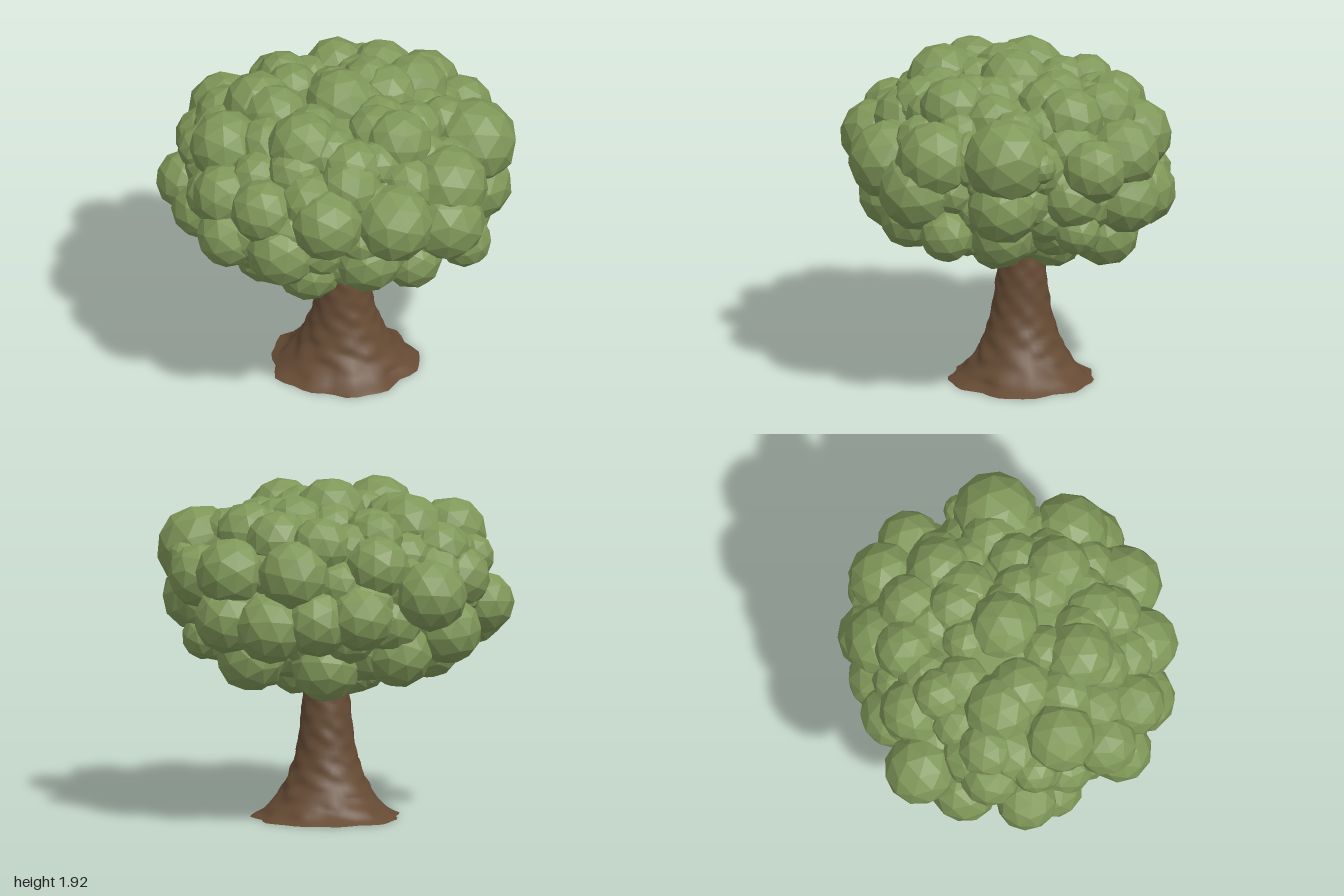
import * as THREE from 'three';
import { mergeVertices } from 'three/addons/utils/BufferGeometryUtils.js';

const bark = new THREE.MeshStandardMaterial({ color: 0x664b34 });
bark.name = 'bark brown';
bark.side = THREE.DoubleSide;
const leaf = new THREE.MeshStandardMaterial({ color: 0x7f9759 });
leaf.name = 'leaf green';

const AXIS = new THREE.Vector3(0.055, 0, -0.08); // trunk centre line

// Small seeded generator
function seeded(seed) {
  return () => {
    seed = (seed * 16807) % 2147483647;
    return seed / 2147483647;
  };
}

// Main leaf clumps: x, y, z, radius
const UPPER = [
  [-0.25, 1.68, 0.32, 0.2], [-0.65, 1.59, 0.08, 0.2], [-0.41, 1.65, -0.2, 0.2],
  [0.03, 1.72, -0.04, 0.2], [0.29, 1.67, 0.35, 0.19], [0.49, 1.63, -0.28, 0.19],
  [0.76, 1.5, 0.13, 0.24], [0.55, 1.46, 0.5, 0.22], [0.1, 1.61, -0.6, 0.17],
  [0.25, 1.46, -0.7, 0.2], [-0.22, 1.64, -0.5, 0.15], [-0.22, 1.5, -0.66, 0.18],
  [-0.52, 1.35, -0.7, 0.2], [0.6, 1.46, -0.57, 0.2], [-0.58, 1.54, -0.32, 0.17],
  [-0.52, 1.43, 0.55, 0.18], [-0.18, 1.4, 0.71, 0.2], [0.2, 1.37, 0.71, 0.22],
  [0.34, 1.62, -0.5, 0.18], [0.22, 1.66, 0.12, 0.17], [0.77, 1.42, -0.37, 0.18],
  [-0.76, 1.48, -0.1, 0.13], [-0.7, 1.42, 0.33, 0.18], [0.85, 1.48, -0.05, 0.09],
  [0.6, 1.58, 0.05, 0.16], [0.0, 1.6, 0.48, 0.18], [0.23, 1.68, -0.26, 0.17],
  [-0.69, 1.4, -0.34, 0.17],
];
const LOWER = [
  [0.73, 1.25, -0.25, 0.17], [-0.83, 1.23, -0.17, 0.17], [-0.69, 1.21, 0.42, 0.18],
  [-0.42, 1.2, 0.62, 0.2], [-0.26, 1.05, 0.57, 0.19], [0.06, 1.13, 0.65, 0.2],
  [0.52, 1.28, 0.59, 0.22], [0.77, 1.23, 0.15, 0.2], [0.74, 1.06, -0.28, 0.13],
  [0.62, 1.2, -0.58, 0.19], [0.49, 0.97, -0.48, 0.19], [0.38, 1.17, -0.7, 0.2],
  [0.12, 1.2, -0.73, 0.19], [-0.12, 1.23, -0.73, 0.19], [0.07, 0.92, -0.56, 0.19],
  [-0.34, 1.0, -0.55, 0.19], [-0.62, 1.12, -0.47, 0.19], [-0.77, 1.14, 0.0, 0.17],
  [-0.52, 0.98, -0.15, 0.18], [-0.45, 0.98, 0.25, 0.18], [0.67, 1.04, 0.14, 0.18],
  [0.65, 1.05, 0.45, 0.15], [0.32, 1.06, 0.6, 0.17], [-0.17, 0.89, 0.05, 0.17],
  [0.3, 0.9, 0.1, 0.17], [0.06, 0.91, 0.22, 0.17], [0.22, 0.88, -0.2, 0.16],
  [-0.06, 0.89, -0.24, 0.17], [0.4, 0.93, -0.2, 0.17],
];

// Faceted clump, turned at random
function addClump(group, [x, y, z, r], random) {
  const geometry = new THREE.IcosahedronGeometry(r * 1.03, 1);
  geometry.computeVertexNormals();
  const mesh = new THREE.Mesh(geometry, leaf);
  mesh.name = 'leafClump';
  mesh.position.set(x, y, z);
  mesh.rotation.set(random() * 6.28, random() * 6.28, random() * 6.28);
  group.add(mesh);
}

function createCanopy() {
  const group = new THREE.Group();
  group.name = 'canopy';
  const random = seeded(77);
  for (const clump of [...UPPER, ...LOWER]) addClump(group, clump, random);

  // Filler clumps spread evenly over a flattened dome, fuller on top
  const count = 100;
  for (let i = 0; i < count; i++) {
    const h = 1 - (2 * (i + 0.5)) / count;
    const ring = Math.pow(1 - h * h, h > 0 ? 0.42 : 0.54);
    const a = i * 2.39996;
    const r = 0.14 + random() * 0.05;
    addClump(group, [ring * Math.cos(a) * 0.72, 1.29 + h * 0.4, ring * Math.sin(a) * 0.69, r], random);
  }

  // Inner mass closing the gaps
  const core = new THREE.Mesh(new THREE.IcosahedronGeometry(1, 2), leaf);
  core.geometry.computeVertexNormals();
  core.name = 'canopyCore';
  core.scale.set(0.8, 0.47, 0.77);
  core.position.y = 1.29;
  group.add(core);
  return group;
}

// Flared, open-bottomed trunk with a lumpy surface
function createTrunk() {
  const outline = [
    [0.41, 0], [0.36, 0.03], [0.32, 0.07], [0.285, 0.11], [0.255, 0.16], [0.23, 0.21],
    [0.205, 0.27], [0.185, 0.33], [0.168, 0.4], [0.157, 0.47], [0.148, 0.54],
    [0.14, 0.61], [0.132, 0.68], [0.124, 0.75], [0.12, 0.82], [0.11, 0.95],
  ].map(([r, y]) => new THREE.Vector2(r, y));
  let geometry = new THREE.LatheGeometry(new THREE.SplineCurve(outline).getPoints(44), 40);
  geometry.deleteAttribute('uv');
  geometry.deleteAttribute('normal');
  geometry = mergeVertices(geometry, 1e-4);
  const p = geometry.attributes.position;
  for (let i = 0; i < p.count; i++) {
    const x = p.getX(i), y = p.getY(i), z = p.getZ(i);
    const a = Math.atan2(z, x);
    const flare = Math.max(0, 1 - y / 0.2);
    const lobes = flare * (0.03 * Math.sin(5 * a + 0.6) + 0.03 * Math.sin(11 * a + 2));
    const lumps = 0.025 * Math.sin(4 * a + 23 * y) * Math.sin(31 * y + 2 * a)
      + 0.015 * Math.sin(7 * a - 41 * y) + 0.01 * Math.sin(70 * y + 3 * Math.sin(2 * a));
    const s = 1 + lobes + lumps;
    p.setXYZ(i, x * s, Math.max(0, y), z * s);
  }
  geometry.computeVertexNormals();
  const mesh = new THREE.Mesh(geometry, bark);
  mesh.name = 'trunk';
  mesh.position.copy(AXIS);
  return mesh;
}

// Tapered tube following a curve
function taperedTube(points, radius, name) {
  const curve = new THREE.CatmullRomCurve3(points.map((q) => new THREE.Vector3(...q)));
  const steps = 10, sides = 8;
  const geometry = new THREE.TubeGeometry(curve, steps, radius, sides);
  const p = geometry.attributes.position;
  const v = new THREE.Vector3();
  for (let i = 0; i < p.count; i++) {
    const t = Math.floor(i / (sides + 1)) / steps;
    const c = curve.getPointAt(t);
    v.fromBufferAttribute(p, i).sub(c).multiplyScalar(1 - 0.95 * t * t).add(c);
    p.setXYZ(i, v.x, v.y, v.z);
  }
  geometry.computeVertexNormals();
  const mesh = new THREE.Mesh(geometry, bark);
  mesh.name = name;
  return mesh;
}

// Roots spreading inside the hollow base
function createRoots() {
  const group = new THREE.Group();
  group.name = 'roots';
  group.position.copy(AXIS);
  const count = 7;
  for (let i = 0; i < count; i++) {
    const root = taperedTube([[0.02, 0.16, 0], [0.1, 0.125, 0], [0.2, 0.09, 0.02], [0.28, 0.03, 0.06]], 0.045, 'root');
    root.rotation.y = (i / count) * Math.PI * 2 + 0.15 * Math.sin(i * 3);
    group.add(root);
  }
  group.add(taperedTube([[0, 0.24, 0], [0, 0.16, 0], [0.01, 0.08, 0]], 0.05, 'tapRoot'));
  return group;
}

export function createModel() {
  const tree = new THREE.Group();
  tree.name = 'tree';
  tree.add(createCanopy(), createTrunk(), createRoots());
  return tree;
}
